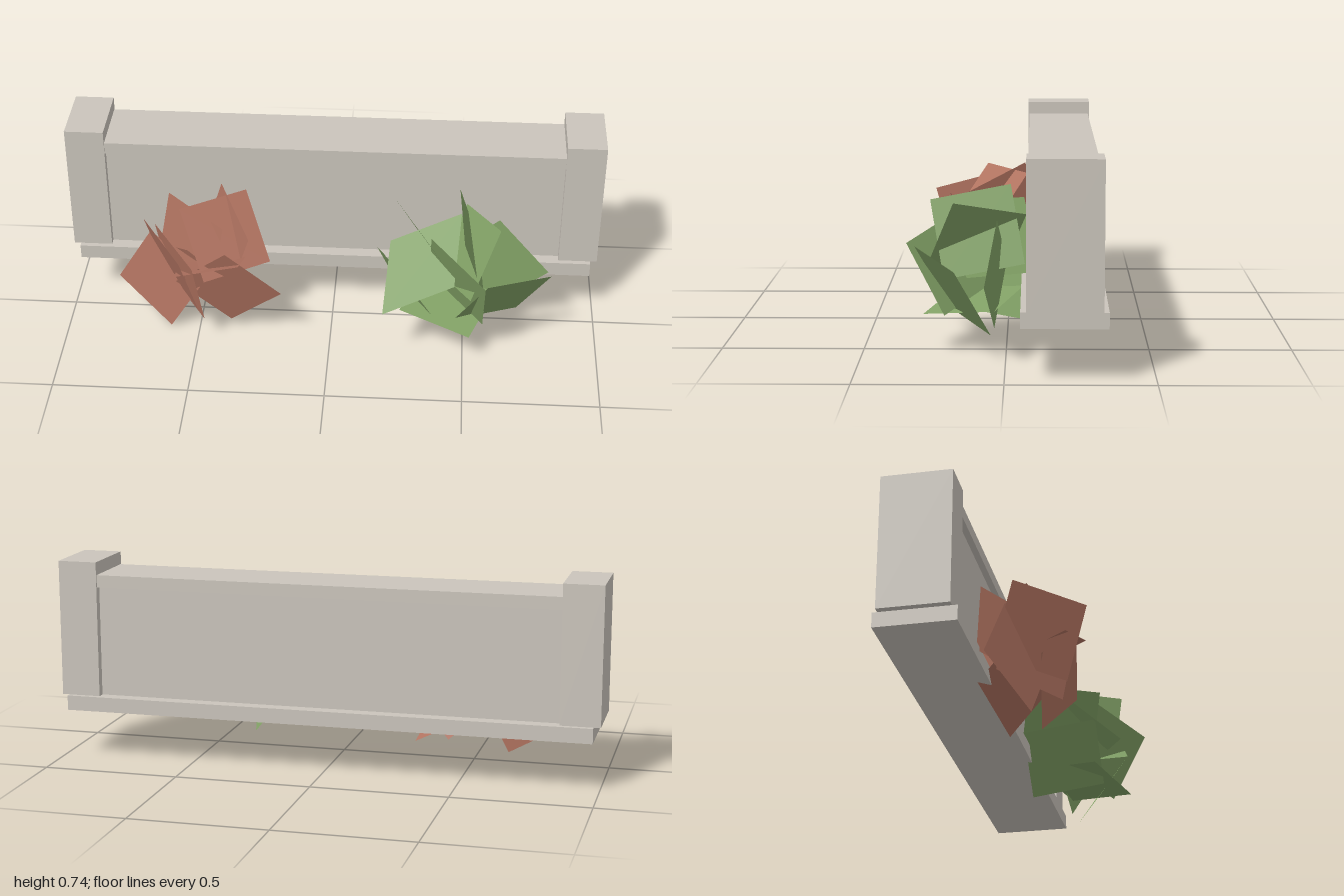
import * as THREE from 'three';

const stone = new THREE.MeshStandardMaterial({ color: 0xcac4bb });
stone.name = 'stone';
const green = new THREE.MeshStandardMaterial({ color: 0x82a266, side: THREE.DoubleSide });
green.name = 'leaf green';
const russet = new THREE.MeshStandardMaterial({ color: 0xb27461, side: THREE.DoubleSide });
russet.name = 'leaf russet';

// Block given by its extents along each axis
function block(name, [x0, x1], [y0, y1], [z0, z1]) {
  const mesh = new THREE.Mesh(new THREE.BoxGeometry(x1 - x0, y1 - y0, z1 - z0), stone);
  mesh.name = name;
  mesh.position.set((x0 + x1) / 2, (y0 + y1) / 2, (z0 + z1) / 2);
  return mesh;
}

// Flat square leaf card spanned by two edges from one corner
function card(name, material, [corner, e, f]) {
  const c = new THREE.Vector3(...corner);
  const u = new THREE.Vector3(...e);
  const v = new THREE.Vector3(...f);
  const points = [c, c.clone().add(u), c.clone().add(u).add(v), c.clone().add(v)];
  const geometry = new THREE.BufferGeometry().setFromPoints(points);
  geometry.setIndex([0, 1, 2, 0, 2, 3]);
  geometry.computeVertexNormals();
  const mesh = new THREE.Mesh(geometry, material);
  mesh.name = name;
  return mesh;
}

function bush(name, material, cards) {
  const group = new THREE.Group();
  group.name = name;
  cards.forEach((c, i) => group.add(card(`leafCard${i + 1}`, material, c)));
  return group;
}

// Each entry: corner, first edge, second edge
const greenCards = [
  [[0.58, 0.39, 0.315], [0.235, -0.045, -0.145], [-0.115, -0.24, -0.12]],
  [[0.33, 0.08, -0.063], [0.07, 0.065, 0.265], [-0.165, 0.2, -0.005]],
  [[0.47, 0.592, -0.015], [0.02, -0.052, 0.28], [0.08, -0.268, -0.05]],
  [[0.57, 0.4, 0.344], [0, -0.255, -0.13], [-0.2, 0.09, -0.18]],
  [[0.62, 0.546, 0.18], [-0.12, -0.056, -0.25], [-0.1, -0.245, 0.1]],
  [[0.62, 0.49, 0.03], [0.19, -0.2, 0.04], [-0.2, -0.18, -0.03]],
  [[0.2, 0.24, 0.3], [0.26, 0.07, -0.09], [0.02, 0.19, -0.2]],
  [[0.23, 0.51, -0.06], [0.12, 0, 0.26], [0.13, -0.25, -0.06]],
  [[0.36, 0.21, -0.06], [0.26, -0.04, 0.1], [-0.1, -0.03, 0.25]],
];

const russetCards = [
  [[-0.82, 0.15, 0], [0.21, -0.14, 0.118], [0.14, 0.245, 0.04]],
  [[-0.38, 0.045, 0.11], [0.2, 0.195, 0.09], [-0.2, 0.195, 0.035]],
  [[-0.56, 0.53, 0.09], [0.23, -0.01, -0.16], [0.1, -0.22, 0.15]],
  [[-0.7, 0.47, 0.07], [0.16, -0.04, 0.23], [0.05, -0.26, -0.08]],
  [[-0.66, 0.44, 0.06], [0.16, -0.06, 0.2], [0.03, -0.27, -0.06]],
  [[-0.42, 0.55, -0.06], [0.12, -0.1, 0.22], [-0.08, -0.27, -0.08]],
  [[-0.5, 0.19, -0.095], [0.22, -0.12, 0.07], [-0.08, 0.17, 0.19]],
  [[-0.62, 0.5, -0.06], [0.22, -0.04, 0.17], [-0.05, -0.27, 0]],
  [[-0.56, 0.22, -0.02], [0.25, 0.08, 0.03], [-0.02, 0.1, 0.25]],
];

export function createModel() {
  const model = new THREE.Group();
  model.name = 'gardenWall';

  // Low wall: plinth, recessed panel, coping and end pillars
  const wall = new THREE.Group();
  wall.name = 'wall';
  wall.add(block('plinth', [-0.975, 0.975], [0.19, 0.245], [-0.342, -0.052]));
  wall.add(block('panel', [-0.856, 0.856], [0.245, 0.655], [-0.295, -0.099]));
  wall.add(block('coping', [-0.856, 0.856], [0.655, 0.7], [-0.318, -0.076]));
  wall.add(block('leftPillar', [0.855, 1], [0.245, 0.748], [-0.324, -0.071]));
  wall.add(block('rightPillar', [-1, -0.855], [0.245, 0.748], [-0.324, -0.071]));
  model.add(wall);

  // Clumps of crossed leaf cards in front of the wall
  model.add(bush('greenBush', green, greenCards));
  model.add(bush('russetBush', russet, russetCards));
  return model;
}
